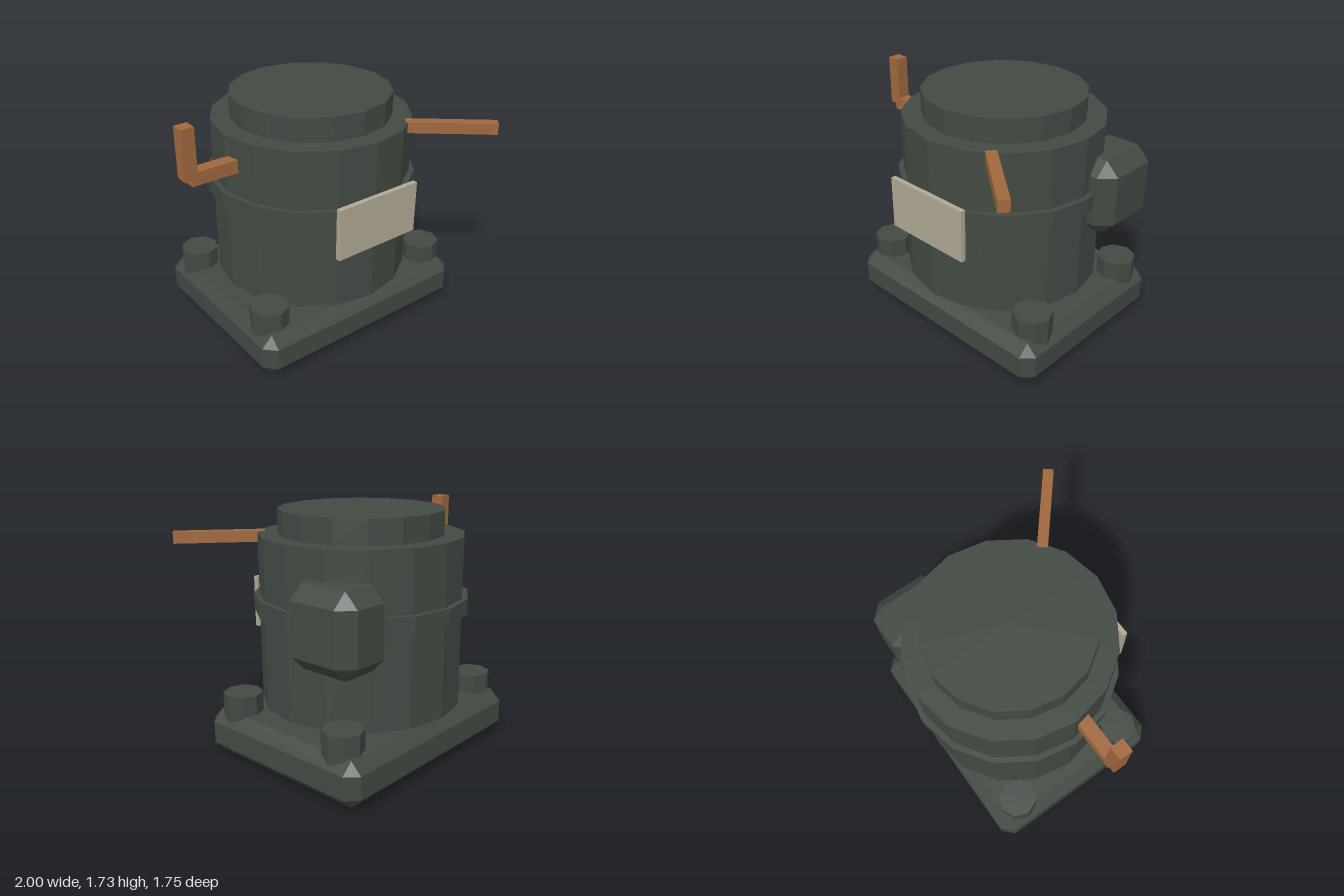
import * as THREE from 'three';
import { ConvexGeometry } from 'three/addons/geometries/ConvexGeometry.js';

// Box with every edge bevelled by c and small triangular corners
function bevelledBox(w, h, d, c) {
  const points = [];
  for (const sx of [-1, 1]) for (const sy of [-1, 1]) for (const sz of [-1, 1]) {
    const x = w / 2, y = h / 2, z = d / 2;
    points.push(
      new THREE.Vector3(sx * x, sy * (y - c), sz * (z - c)),
      new THREE.Vector3(sx * (x - c), sy * y, sz * (z - c)),
      new THREE.Vector3(sx * (x - c), sy * (y - c), sz * z)
    );
  }
  return new ConvexGeometry(points);
}

export function createModel() {
  const material = (name, color) => {
    const m = new THREE.MeshStandardMaterial({ color, flatShading: true });
    m.name = name;
    return m;
  };
  const iron = material('dark green iron', 0x424a43);
  const copper = material('copper', 0xa0683e);
  const cream = material('cream plate', 0xb0a994);

  const model = new THREE.Group();
  model.name = 'machine';
  const add = (name, geometry, mat, x, y, z, parent = model) => {
    const mesh = new THREE.Mesh(geometry, mat);
    mesh.name = name;
    mesh.position.set(x, y, z);
    parent.add(mesh);
    return mesh;
  };

  // Main axis of the housing
  const cx = 0.09, cz = -0.12;
  const drum = (name, radius, y0, y1) =>
    add(name, new THREE.CylinderGeometry(radius, radius, y1 - y0, 16), iron, cx, (y0 + y1) / 2, cz);

  // Base plate and its four bolts
  add('base', bevelledBox(1.76, 0.32, 1.4, 0.08), iron, cx, 0.16, cz);
  const bolt = new THREE.CylinderGeometry(0.14, 0.14, 0.28, 8);
  for (const sx of [-1, 1]) for (const sz of [-1, 1])
    add('bolt', bolt, iron, cx + sx * 0.72, 0.32, cz + sz * 0.48);

  // Housing, band and cap
  drum('housing', 0.72, 0.365, 1.56);
  drum('band', 0.76, 1.03, 1.14);
  drum('cap', 0.58, 1.55, 1.73);

  // Bevelled box on the left side
  add('sideBox', bevelledBox(0.44, 0.56, 0.56, 0.1), iron, 0.73, 1.08, -0.48);

  // Plate on the front
  add('frontPlate', new THREE.BoxGeometry(0.68, 0.38, 0.036), cream, cx, 1.0, 0.625);

  // Straight lever at the front left
  const lever = add('lever', new THREE.BoxGeometry(0.63, 0.08, 0.075), copper, 0.73, 1.525, 0.637);
  lever.rotation.y = -0.7;

  // Bent pipe on the right side
  const pipe = new THREE.Group();
  pipe.name = 'bentPipe';
  model.add(pipe);
  add('pipeArm', new THREE.BoxGeometry(0.4, 0.095, 0.095), copper, -0.75, 1.365, -0.045, pipe);
  add('pipeRiser', new THREE.BoxGeometry(0.095, 0.36, 0.095), copper, -0.9525, 1.543, -0.045, pipe);

  return model;
}
